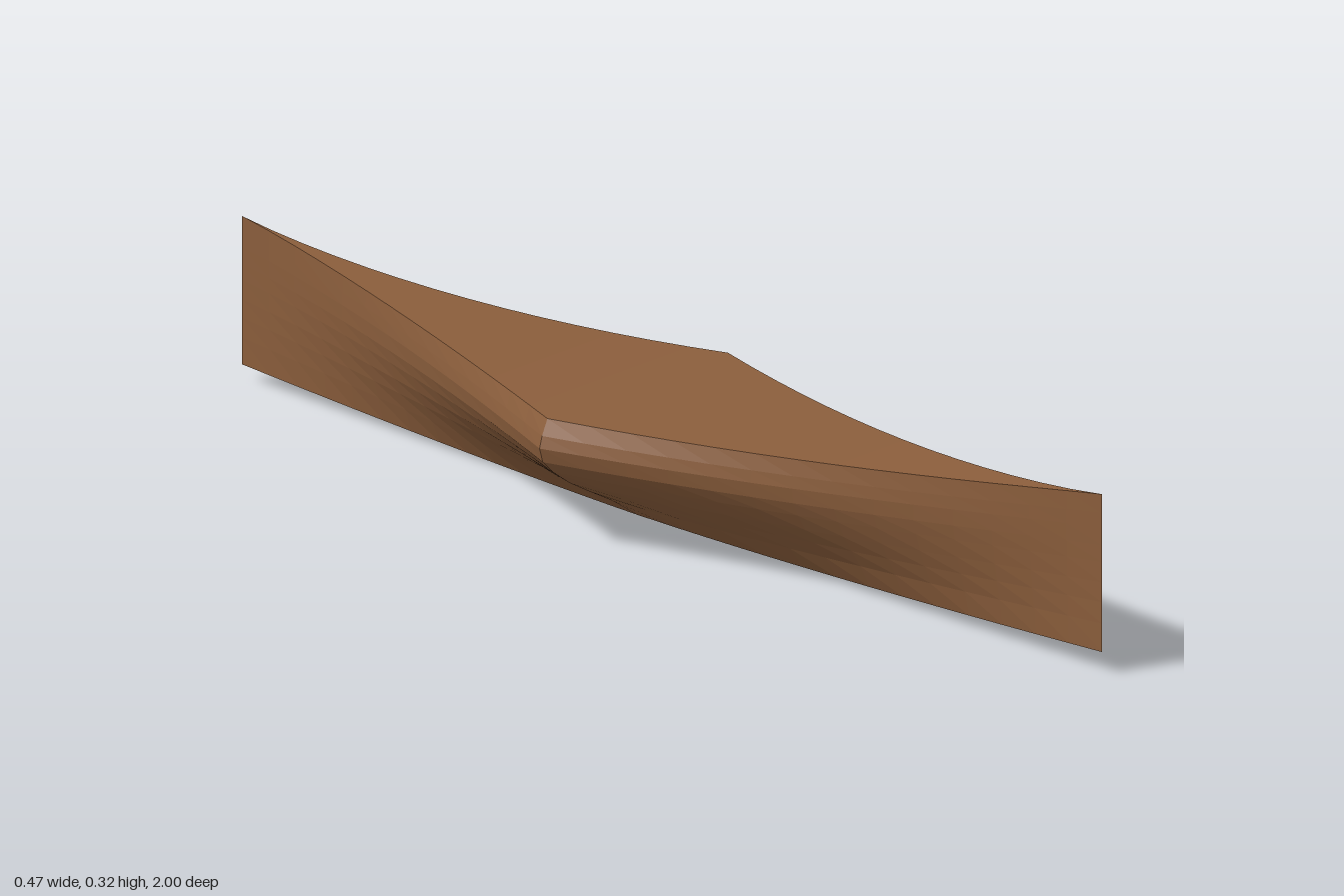
import * as THREE from 'three';

// Midship half-section from keel to rail: [half-width, height fraction]
const SECTION = [
  [0, 0], [0.06, 0.18], [0.115, 0.315], [0.164, 0.44], [0.204, 0.57],
  [0.228, 0.675], [0.236, 0.79], [0.23, 0.88], [0.217, 1],
];
const MID_Z = -0.08;
const STEPS = 14;

// One cross-section: t runs from 0 amidships to 1 at the tip
function station(t, end) {
  const bow = end > 0;
  const width = Math.pow(1 - t, bow ? 1.4 : 1.63);
  const keel = (bow ? 0.038 : 0.028) * Math.pow(t, 1.6);
  const rail = 0.231 + (bow ? 0.089 : 0.062) * t * t;
  const z = MID_Z + t * (end - MID_Z);
  return SECTION.map(([x, f]) => new THREE.Vector3(x * width, keel + f * (rail - keel), z));
}

// Stations from stern to bow
function allStations() {
  const list = [];
  for (let i = STEPS; i > 0; i--) list.push(station(i / STEPS, -1));
  for (let i = 0; i <= STEPS; i++) list.push(station(i / STEPS, 1));
  return list;
}

function flatGeometry(points) {
  const geometry = new THREE.BufferGeometry().setFromPoints(points);
  geometry.computeVertexNormals();
  return geometry;
}

const mirror = (p) => new THREE.Vector3(-p.x, p.y, p.z);

// Skin of one side; the right side is mirrored with reversed winding
function sideGeometry(stations, side) {
  const points = [];
  const tri = (a, b, c) => {
    if (side > 0) points.push(a, b, c);
    else points.push(mirror(a), mirror(c), mirror(b));
  };
  for (let i = 0; i < stations.length - 1; i++) {
    const s = stations[i], n = stations[i + 1];
    for (let j = 0; j < SECTION.length - 1; j++) {
      tri(s[j], s[j + 1], n[j]);
      tri(n[j], s[j + 1], n[j + 1]);
    }
  }
  return flatGeometry(points);
}

// Deck spanning rail to rail
function deckGeometry(stations) {
  const points = [];
  const top = SECTION.length - 1;
  for (let i = 0; i < stations.length - 1; i++) {
    const a = stations[i][top], b = stations[i + 1][top];
    points.push(mirror(a), mirror(b), a, a, mirror(b), b);
  }
  return flatGeometry(points);
}

export function createModel() {
  const group = new THREE.Group();
  group.name = 'boatHull';
  const wood = new THREE.MeshStandardMaterial({ color: 0x8b5e3c, flatShading: true });
  wood.name = 'brownWood';
  const stations = allStations();

  const add = (name, geometry) => {
    const mesh = new THREE.Mesh(geometry, wood);
    mesh.name = name;
    group.add(mesh);
  };
  add('leftHullSide', sideGeometry(stations, 1));
  add('rightHullSide', sideGeometry(stations, -1));
  add('deck', deckGeometry(stations));
  return group;
}
